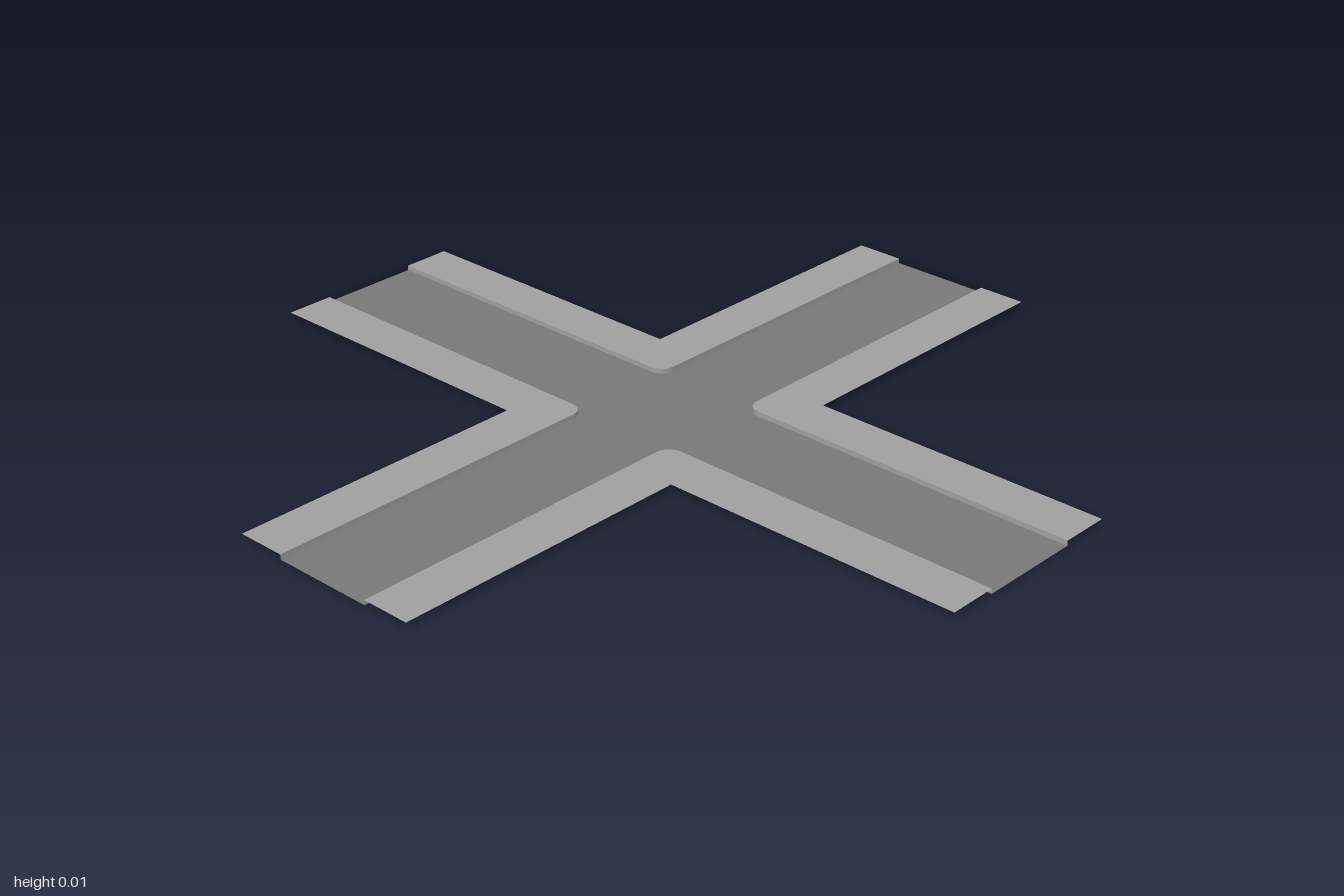
import * as THREE from 'three';

const END = 1;          // arm length from the centre
const OUTER = 0.25;     // outer edge of the pavement
const KERB = 0.128;     // kerb line
const RADIUS = 0.035;   // rounding of the kerb corner
const HEIGHT = 0.012;   // kerb height

// Kerb line of one quadrant: along one arm, round the corner, out along the other.
function kerbLine() {
  const points = [new THREE.Vector2(END, KERB)];
  const c = KERB + RADIUS, steps = 6;
  for (let i = 0; i <= steps; i++) {
    const a = -Math.PI / 2 - (i / steps) * Math.PI / 2;
    points.push(new THREE.Vector2(c + RADIUS * Math.cos(a), c + RADIUS * Math.sin(a)));
  }
  points.push(new THREE.Vector2(KERB, END));
  return points;
}

// Flat sheet lying at the given height, facing up.
function sheet(points, y) {
  return new THREE.ShapeGeometry(new THREE.Shape(points)).rotateX(-Math.PI / 2).translate(0, y, 0);
}

// Upright strip standing on a line, facing the road.
function wall(points, height) {
  const positions = [], index = [];
  points.forEach((p, i) => {
    positions.push(p.x, 0, -p.y, p.x, height, -p.y);
    if (i === 0) return;
    const a = 2 * (i - 1), b = 2 * i;
    index.push(b, a, a + 1, b, a + 1, b + 1);
  });
  const geometry = new THREE.BufferGeometry();
  geometry.setAttribute('position', new THREE.Float32BufferAttribute(positions, 3));
  geometry.setIndex(index);
  geometry.computeVertexNormals();
  return geometry;
}

export function createModel() {
  const asphalt = new THREE.MeshStandardMaterial({ color: 0x787878, side: THREE.DoubleSide });
  asphalt.name = 'asphalt';
  const concrete = new THREE.MeshStandardMaterial({ color: 0xa0a0a0, side: THREE.DoubleSide });
  concrete.name = 'concrete';

  const model = new THREE.Group();
  model.name = 'crossroads';
  const add = (parent, name, geometry, material) => {
    const mesh = new THREE.Mesh(geometry, material);
    mesh.name = name;
    parent.add(mesh);
  };

  // Road surface: the kerb line repeated in all four quadrants
  const line = kerbLine();
  const origin = new THREE.Vector2();
  const outline = [];
  for (let i = 0; i < 4; i++) {
    outline.push(...line.map(p => p.clone().rotateAround(origin, i * Math.PI / 2)));
  }
  add(model, 'road', sheet(outline, 0), asphalt);

  // Raised pavement corners with their kerbs
  const pavement = sheet([
    ...line,
    new THREE.Vector2(OUTER, END),
    new THREE.Vector2(OUTER, OUTER),
    new THREE.Vector2(END, OUTER),
  ], HEIGHT);
  const kerb = wall(line, HEIGHT);
  for (let i = 0; i < 4; i++) {
    const corner = new THREE.Group();
    corner.name = 'pavementCorner' + (i + 1);
    corner.rotation.y = i * Math.PI / 2;
    add(corner, 'pavement', pavement, concrete);
    add(corner, 'kerb', kerb, concrete);
    model.add(corner);
  }
  return model;
}
